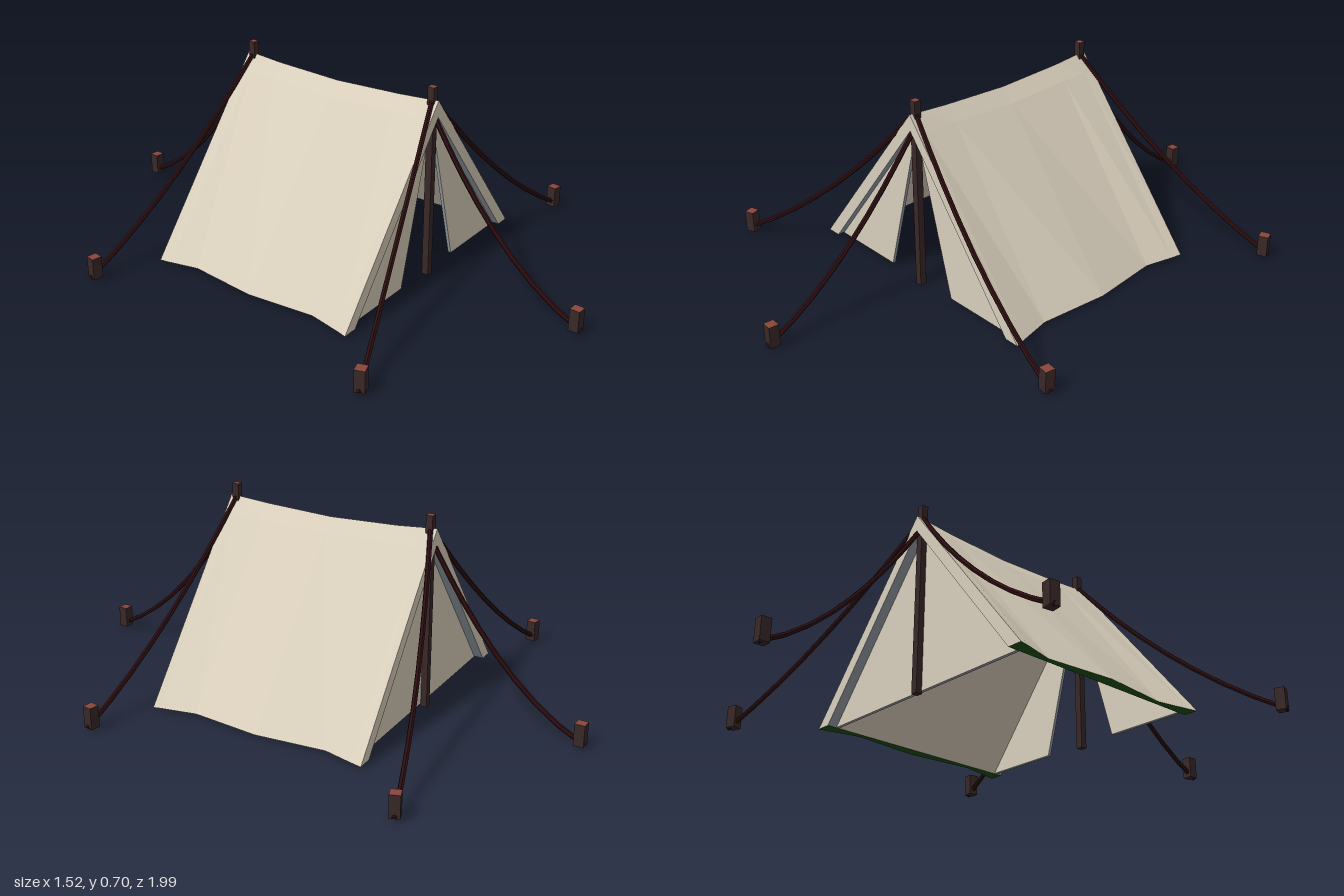
import * as THREE from 'three';

const mat = (name, color) => {
  const m = new THREE.MeshStandardMaterial({ color, flatShading: true });
  m.name = name;
  return m;
};

export function createModel() {
  const canvas = mat('canvas', 0xd8cebb);
  const lining = mat('lining', 0x969fa8);
  const hem = mat('green hem', 0x1c4d0e);
  const wood = mat('dark wood', 0x3a2828);
  const cutWood = mat('cut wood', 0x8a463c);
  const rope = mat('rope', 0x2c0e10);

  const tent = new THREE.Group();
  tent.name = 'tent';
  const add = (name, geo, material, parent = tent) => {
    const mesh = new THREE.Mesh(geo, material);
    mesh.name = name;
    parent.add(mesh);
    return mesh;
  };

  // Roof: cross-sections along z as [z, ridge height, half width at the hem]
  const sections = [
    [-0.43, 0.66, 0.515], [-0.39, 0.657, 0.507], [-0.28, 0.648, 0.48], [-0.02, 0.638, 0.505],
    [0.24, 0.648, 0.48], [0.37, 0.657, 0.507], [0.40, 0.66, 0.515],
  ];
  const rings = sections.map(([z, top, w]) => {
    const drop = Math.abs(z) > 0.3 ? 0.057 : 0.05;
    return [
      [w, 0.01], [0.045, top - drop], [0, top], [-0.045, top - drop], [-w, 0.01],
      [-0.46, 0.01], [0, 0.60], [0.46, 0.01],
    ].map(([x, y]) => [x, y, z]);
  });
  const faces = { outer: [], inner: [], edge: [], bottom: [] };
  const poly = (list, pts) => {
    for (let i = 1; i < pts.length - 1; i++) list.push(...pts[0], ...pts[i], ...pts[i + 1]);
  };
  for (let s = 0; s < rings.length - 1; s++) {
    const overhang = s === 0 || s === rings.length - 2;
    for (let i = 0; i < 8; i++) {
      const j = (i + 1) % 8;
      const list = i < 4 ? faces.outer
        : i === 4 || i === 7 ? faces.bottom
          : overhang ? faces.edge : faces.inner;
      poly(list, [rings[s][i], rings[s][j], rings[s + 1][j], rings[s + 1][i]]);
    }
  }
  // End faces of the thick roof cloth
  const caps = [[7, 0, 1, 6], [1, 2, 6], [2, 3, 6], [6, 3, 4, 5]];
  for (const c of caps) {
    poly(faces.outer, c.map((i) => rings[rings.length - 1][i]));
    poly(faces.outer, [...c].reverse().map((i) => rings[0][i]));
  }
  const roof = new THREE.Group();
  roof.name = 'roof';
  tent.add(roof);
  const addFaces = (name, list, material) => {
    const g = new THREE.BufferGeometry();
    g.setAttribute('position', new THREE.Float32BufferAttribute(list, 3));
    g.computeVertexNormals();
    add(name, g, material, roof);
  };
  addFaces('roofCloth', faces.outer, canvas);
  addFaces('roofInside', faces.inner, canvas);
  addFaces('roofOverhangLining', faces.edge, lining);
  addFaces('roofHem', faces.bottom, hem);

  // End walls: closed triangle at the back, two open flaps at the front
  const panel = (name, pts, z) => {
    const shape = new THREE.Shape(pts.map(([x, y]) => new THREE.Vector2(x, y)));
    const geo = new THREE.ExtrudeGeometry(shape, { depth: 0.012, bevelEnabled: false });
    add(name, geo, [canvas, lining]).position.z = z;
  };
  panel('backWall', [[-0.458, 0.01], [0.458, 0.01], [0, 0.598]], -0.395);
  for (const s of [-1, 1]) {
    panel(s > 0 ? 'leftDoorFlap' : 'rightDoorFlap',
      [[s * 0.16, 0.01], [s * 0.458, 0.01], [0, 0.598]], 0.363);
  }

  // Poles and pegs are square timber with a bare cut top
  const timber = (name, w, h, d, x, y, z, turn = 0) => {
    const m = add(name, new THREE.BoxGeometry(w, h, d), [wood, wood, cutWood, wood, wood, wood]);
    m.position.set(x, y + h / 2, z);
    m.rotation.y = turn;
  };
  timber('frontPole', 0.025, 0.705, 0.025, 0, 0, 0.375);
  timber('backPole', 0.025, 0.705, 0.025, 0, 0, -0.405);

  // Guy ropes: [start y, start z, peg x, peg z, sag, sideways bow]
  const guys = [
    [0.66, 0.375, -0.715, 0.61, 0.25, 0.05],
    [0.60, 0.385, -0.032, 0.97, 0.33, 0.04],
    [0.66, 0.375, 0.735, 0.487, 0.25, 0.03],
    [0.66, -0.405, -0.735, -0.525, 0.25, 0.04],
    [0.60, -0.42, 0.02, -0.98, 0.33, 0.04],
    [0.66, -0.405, 0.715, -0.655, 0.25, -0.05],
  ];
  guys.forEach(([y0, z0, px, pz, sag, bow], n) => {
    const dir = new THREE.Vector2(px, pz - z0);
    const len = dir.length();
    dir.normalize();
    const reach = Math.min(len + 0.022, (0.995 - Math.abs(z0)) / Math.max(Math.abs(dir.y), 0.01));
    const pts = [];
    for (let i = 0; i <= 6; i++) {
      const t = i / 6;
      const side = bow * t * (1 - t);
      pts.push(new THREE.Vector3(
        dir.x * reach * t - dir.y * side,
        y0 + (0.012 - y0) * t - sag * t * (1 - t),
        z0 + dir.y * reach * t + dir.x * side,
      ));
    }
    const curve = new THREE.CatmullRomCurve3(pts);
    add('guyRope' + (n + 1), new THREE.TubeGeometry(curve, 8, 0.009, 6, false), rope);
    timber('peg' + (n + 1), 0.036, 0.08, 0.036, px, 0.01, pz, Math.atan2(dir.x, dir.y));
  });

  return tent;
}
